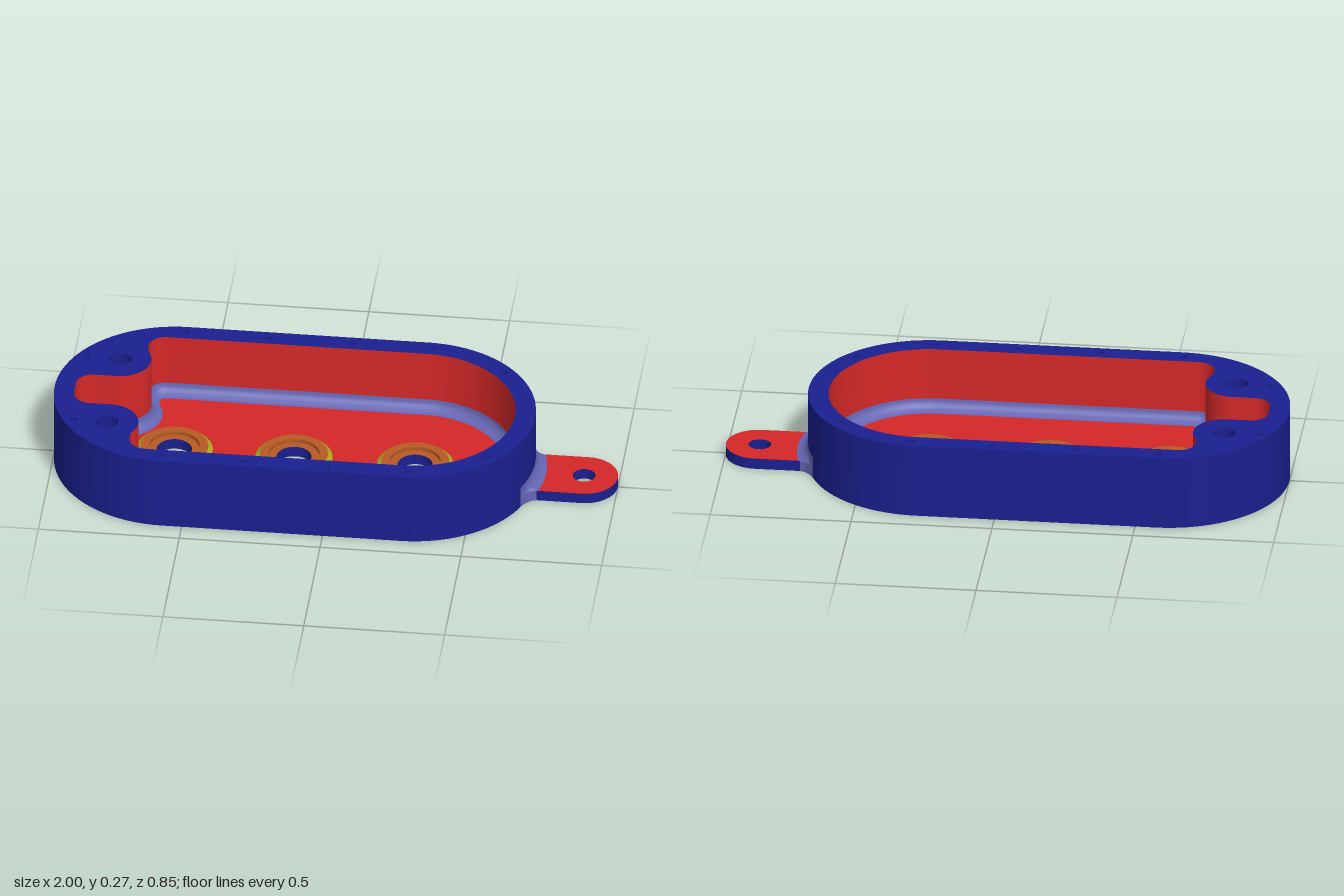
import * as THREE from 'three';
import { toCreasedNormals } from 'three/addons/utils/BufferGeometryUtils.js';

const H = 0.273, FLOOR = 0.04, FILLET = 0.04;
const CX = [-0.573, 0.279], R = 0.427;
const PORTS = [-0.575, -0.15, 0.28];
const LOBE = [-0.79, 0.2];
const SCREWS = [[-0.58, 0.392], [-0.285, 0.392], [0.01, 0.392], [0.3, 0.392], [0.565, 0.265], [-0.91, 0.197]];

const paint = (color) => new THREE.MeshStandardMaterial({ color });
const blue = paint(0x1a2090), red = paint(0xd62828), violet = paint(0x6666b4);
const orange = paint(0xb85a24), yellow = paint(0xb8aa20);

// Arc as [x, s] points, where s = -z
function arc(cx, cy, r, a0, a1, n = 16) {
  return Array.from({ length: n + 1 }, (_, i) => {
    const a = a0 + (a1 - a0) * i / n;
    return [cx + r * Math.cos(a), cy + r * Math.sin(a)];
  });
}
const circle = (x, s, r, n = 32) => arc(x, s, r, 0, 2 * Math.PI, n).slice(0, n);
const PI = Math.PI;

// Rounded outline of the housing
const stadium = [...arc(CX[1], 0, R, -PI / 2, PI / 2, 48), ...arc(CX[0], 0, R, PI / 2, 1.5 * PI, 48)];

// Pocket outline, inset by d, running round the two bolt lobes
function pocket(d) {
  const a0 = Math.acos((0.09 + d) / (0.11 + d));
  const half = [
    ...arc(CX[1], 0, 0.355 - d, 0, PI / 2, 24),
    ...arc(-0.64, 0.295, 0.0601 - d, PI / 2, PI, 10),
    ...arc(LOBE[0], LOBE[1], 0.11 + d, a0, -PI / 2, 18),
    ...arc(-0.868, 0.03, 0.0601 - d, PI / 2, PI, 10),
  ];
  const mirrored = half.slice(1).reverse().map(([x, s]) => [x, -s]);
  return [...half, ...mirrored];
}

const ring = (pts, y) => pts.map(([x, s]) => [x, y, -s]);

// Skin over rows of 3D points; rising rows face outwards
function skin(rows, closed = true) {
  const n = rows[0].length, index = [];
  for (let j = 0; j + 1 < rows.length; j++) {
    for (let i = 0; i < (closed ? n : n - 1); i++) {
      const a = j * n + i, b = j * n + (i + 1) % n;
      index.push(a, b, b + n, a, b + n, a + n);
    }
  }
  const g = new THREE.BufferGeometry();
  g.setAttribute('position', new THREE.Float32BufferAttribute(rows.flat(2), 3));
  g.setIndex(index);
  return toCreasedNormals(g, 0.6);
}

// Flat horizontal face with holes
function plate(outline, holes, y, up = true) {
  const vec = (pts) => pts.map(([x, s]) => new THREE.Vector2(x, s));
  const shape = new THREE.Shape(vec(outline));
  shape.holes = holes.map((h) => new THREE.Path(vec(h)));
  return new THREE.ShapeGeometry(shape).rotateX(up ? -PI / 2 : PI / 2).translate(0, y, 0);
}

const tube = (pts, top, bottom) => skin([ring(pts, top), ring(pts, bottom)]);

export function createModel() {
  const model = new THREE.Group();
  const add = (name, geometry, material, parent = model) => {
    const mesh = new THREE.Mesh(geometry, material);
    mesh.name = name;
    parent.add(mesh);
  };
  const group = (name) => {
    const g = new THREE.Group();
    g.name = name;
    model.add(g);
    return g;
  };

  const both = (list) => list.flatMap(([x, s]) => [[x, s], [x, -s]]);
  const boltHoles = both([LOBE]).map(([x, s]) => circle(x, s, 0.04));
  const screwHoles = both(SCREWS).map(([x, s]) => circle(x, s, 0.013, 16));

  // Housing shell
  const housing = group('housing');
  add('outerWall', skin([ring(stadium, 0), ring(stadium, H)]), blue, housing);
  add('rim', plate(stadium, [pocket(0), ...boltHoles, ...screwHoles], H), blue, housing);
  add('underside', plate(stadium, [...boltHoles, ...PORTS.map((x) => circle(x, 0, 0.062, 48))], 0, false), blue, housing);
  boltHoles.forEach((h) => add('boltHole', tube(h, H, 0), blue, housing));
  screwHoles.forEach((h) => {
    add('screwHole', tube(h, H, H - 0.08), blue, housing);
    add('screwHoleEnd', plate(h, [], H - 0.08), blue, housing);
  });

  // Pocket: wall, rounded foot and floor
  const inside = group('pocket');
  add('pocketWall', skin([ring(pocket(0), H), ring(pocket(0), FLOOR + FILLET)]), red, inside);
  const foot = [];
  for (let i = 0; i <= 8; i++) {
    const t = i / 8 * PI / 2;
    foot.push(ring(pocket(FILLET * (1 - Math.cos(t))), FLOOR + FILLET * (1 - Math.sin(t))));
  }
  add('pocketFillet', skin(foot), violet, inside);
  add('pocketFloor', plate(pocket(FILLET), PORTS.map((x) => circle(x, 0, 0.136, 48)), FLOOR), red, inside);

  // Ports: bevelled collar, stepped seat and through bore
  const lathe = (...p) => toCreasedNormals(
    new THREE.LatheGeometry(p.map(([r, y]) => new THREE.Vector2(r, y)), 48), 0.6);
  PORTS.forEach((x) => {
    const port = group('port');
    port.position.x = x;
    add('portBevel', lathe([0.136, FLOOR], [0.12, 0.054]), yellow, port);
    add('portSeat', lathe([0.12, 0.054], [0.09, 0.054], [0.09, FLOOR], [0.062, FLOOR]), orange, port);
    add('portBore', lathe([0.062, FLOOR], [0.062, 0]), blue, port);
  });

  // Mounting tab
  const tab = group('mountingTab');
  const W = 0.116, tabEnd = 1 - W;
  const tabOutline = [[0.69, -W], ...arc(tabEnd, 0, W, -PI / 2, PI / 2, 32), [0.69, W]];
  const tabHole = circle(0.88, 0, 0.04);
  add('tabTop', plate(tabOutline, [tabHole], FLOOR), red, tab);
  add('tabBottom', plate(tabOutline, [tabHole], 0, false), blue, tab);
  add('tabEdge', skin([ring(tabOutline, 0), ring(tabOutline, FLOOR)]), blue, tab);
  add('tabHole', tube(tabHole, FLOOR, 0), blue, tab);

  // Flared fillet between the tab and the housing
  const flare = 0.05, steps = 64;
  const row = (k, y) => Array.from({ length: steps + 1 }, (_, i) => {
    const s = (W + flare) * (2 * i / steps - 1);
    const q = Math.max(0, (Math.abs(s) - W) / flare);
    const reach = q > 0 ? 1 - Math.sqrt(Math.max(0, 1 - (1 - q) ** 2)) : 1;
    return [CX[1] + Math.sqrt(R * R - s * s) + 0.04 * reach * k, y, -s];
  });
  const rows = [row(0, 0), row(1, 0), row(1, FLOOR)];
  for (let i = 1; i <= 8; i++) {
    const t = i / 8 * PI / 2;
    rows.push(row(1 - Math.sin(t), FLOOR + 0.04 * (1 - Math.cos(t))));
  }
  add('tabFillet', skin(rows, false), violet, tab);

  return model;
}
